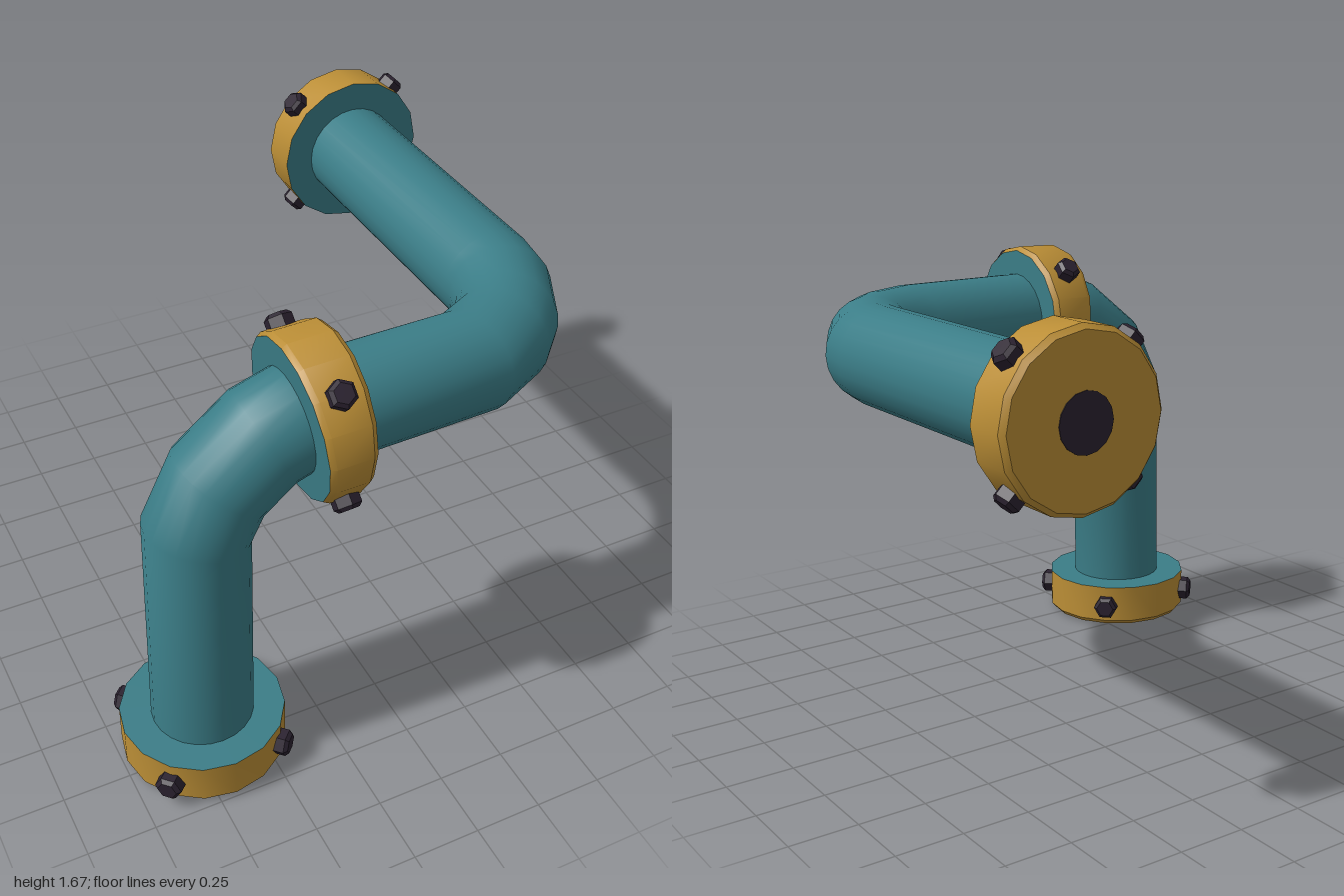
import * as THREE from 'three';
import { toCreasedNormals } from 'three/addons/utils/BufferGeometryUtils.js';

const teal = new THREE.MeshStandardMaterial({ color: 0x3b7d87 });
teal.name = 'teal paint';
const brass = new THREE.MeshStandardMaterial({ color: 0xbb8e36 });
brass.name = 'brass';
const dark = new THREE.MeshStandardMaterial({ color: 0x2b2230 });
dark.name = 'dark iron';

const V = (x, y, z) => new THREE.Vector3(x, y, z);

// Skin a row of round sections; each is [centre, tangent, radius].
// side is the axis every section shares (perpendicular to the bend plane).
function loft(sections, side, segments) {
  const positions = [];
  const index = [];
  sections.forEach(([centre, tangent, radius]) => {
    const normal = side.clone().cross(tangent).normalize();
    for (let i = 0; i < segments; i++) {
      const a = (i / segments) * Math.PI * 2;
      const p = centre.clone()
        .addScaledVector(normal, Math.cos(a) * radius)
        .addScaledVector(side, Math.sin(a) * radius);
      positions.push(p.x, p.y, p.z);
    }
  });
  for (let k = 0; k < sections.length - 1; k++) {
    for (let i = 0; i < segments; i++) {
      const j = (i + 1) % segments;
      const a = k * segments + i, b = k * segments + j;
      const c = a + segments, d = b + segments;
      if (sections[k][2] > 0) index.push(a, b, c);
      if (sections[k + 1][2] > 0) index.push(b, d, c);
    }
  }
  const g = new THREE.BufferGeometry();
  g.setAttribute('position', new THREE.Float32BufferAttribute(positions, 3));
  g.setIndex(index);
  return toCreasedNormals(g, 0.6);
}

function add(parent, name, geometry, material) {
  const mesh = new THREE.Mesh(geometry, material);
  mesh.name = name;
  parent.add(mesh);
  return mesh;
}

// Four hex bolts around the local y axis
function addBolts(parent) {
  const profile = [[0, 0.27], [0.05, 0.27], [0.05, 0.327], [0.036, 0.34], [0, 0.34]];
  const head = new THREE.LatheGeometry(profile.map(([r, y]) => new THREE.Vector2(r, y)), 6);
  const geometry = toCreasedNormals(head, 0.3);
  for (let i = 0; i < 4; i++) {
    const arm = new THREE.Group();
    arm.name = 'boltArm';
    arm.rotation.y = Math.PI / 4 + (i * Math.PI) / 2;
    add(arm, 'bolt', geometry, dark).rotation.z = -Math.PI / 2;
    parent.add(arm);
  }
}

// End flange: outer face at local y = 0, pipe side facing +y
function endFlange(name) {
  const group = new THREE.Group();
  group.name = name;
  const up = V(0, 1, 0), side = V(0, 0, 1);
  const ring = (y, r) => [V(0, y, 0), up, r];
  add(group, 'flangeRim',
    loft([ring(0.003, 0), ring(0.003, 0.283), ring(0.022, 0.3), ring(0.175, 0.3)], side, 16), brass);
  add(group, 'flangeFace', loft([ring(0.175, 0.3), ring(0.175, 0)], side, 16), teal);
  const bore = new THREE.CylinderGeometry(0.1, 0.1, 0.006, 16);
  add(group, 'bore', bore, dark).position.y = 0.003;
  const bolts = new THREE.Group();
  bolts.name = 'bolts';
  bolts.position.y = 0.09;
  addBolts(bolts);
  group.add(bolts);
  return group;
}

export function createModel() {
  const model = new THREE.Group();
  model.name = 'pipe';
  const R = 0.187;

  // Riser bending from vertical to sideways
  const riser = [
    [-0.69, 0.1, 0, 1], [-0.678, 1.03, 0.09, 0.37], [-0.595, 1.2, 0.24, 0.29],
    [-0.435, 1.33, 0.34, 0.17], [-0.33, 1.365, 0.38, 0.045], [-0.22, 1.37, 1, 0],
  ].map(([x, y, tx, ty]) => [V(x, y, 0.7), V(tx, ty, 0), R]);
  add(model, 'riserPipe', loft(riser, V(0, 0, 1), 24), teal);

  // Level run bending from sideways to the back
  const run = [
    [-0.25, 0.7, 1, 0], [0.35, 0.685, 0.35, -0.12], [0.52, 0.6, 0.32, -0.2],
    [0.605, 0.505, 0.27, -0.27], [0.675, 0.355, 0.13, -0.35],
    [0.687, 0.26, 0.02, -0.35], [0.69, -0.9, 0, -1],
  ].map(([x, z, tx, tz]) => [V(x, 1.37, z), V(tx, 0, tz), R]);
  add(model, 'levelPipe', loft(run, V(0, 1, 0), 24), teal);

  // Flanges at both ends
  const base = endFlange('baseFlange');
  base.position.set(-0.69, 0, 0.7);
  const back = endFlange('backFlange');
  back.position.set(0.69, 1.37, -1);
  back.rotation.x = Math.PI / 2;
  model.add(base, back);

  // Wedge-shaped joint flange between riser and run
  const joint = new THREE.Group();
  joint.name = 'jointFlange';
  const tilted = V(1, 0.1, 0), level = V(1, 0, 0), side = V(0, 0, 1);
  const leftEnd = V(-0.338, 1.366, 0.7), rightEnd = V(-0.167, 1.37, 0.7);
  const rings = [
    [leftEnd, tilted, 0.288], [V(-0.318, 1.367, 0.7), tilted, 0.299],
    [V(-0.187, 1.37, 0.7), level, 0.299], [rightEnd, level, 0.284],
  ];
  add(joint, 'jointRim', loft(rings, side, 16), brass);
  add(joint, 'jointFaceLeft', loft([[leftEnd, tilted, 0], rings[0]], side, 16), teal);
  add(joint, 'jointFaceRight', loft([rings[3], [rightEnd, level, 0]], side, 16), teal);
  const bolts = new THREE.Group();
  bolts.name = 'bolts';
  bolts.position.set(-0.255, 1.37, 0.7);
  bolts.rotation.z = -Math.PI / 2 + 0.06;
  addBolts(bolts);
  joint.add(bolts);
  model.add(joint);

  return model;
}
